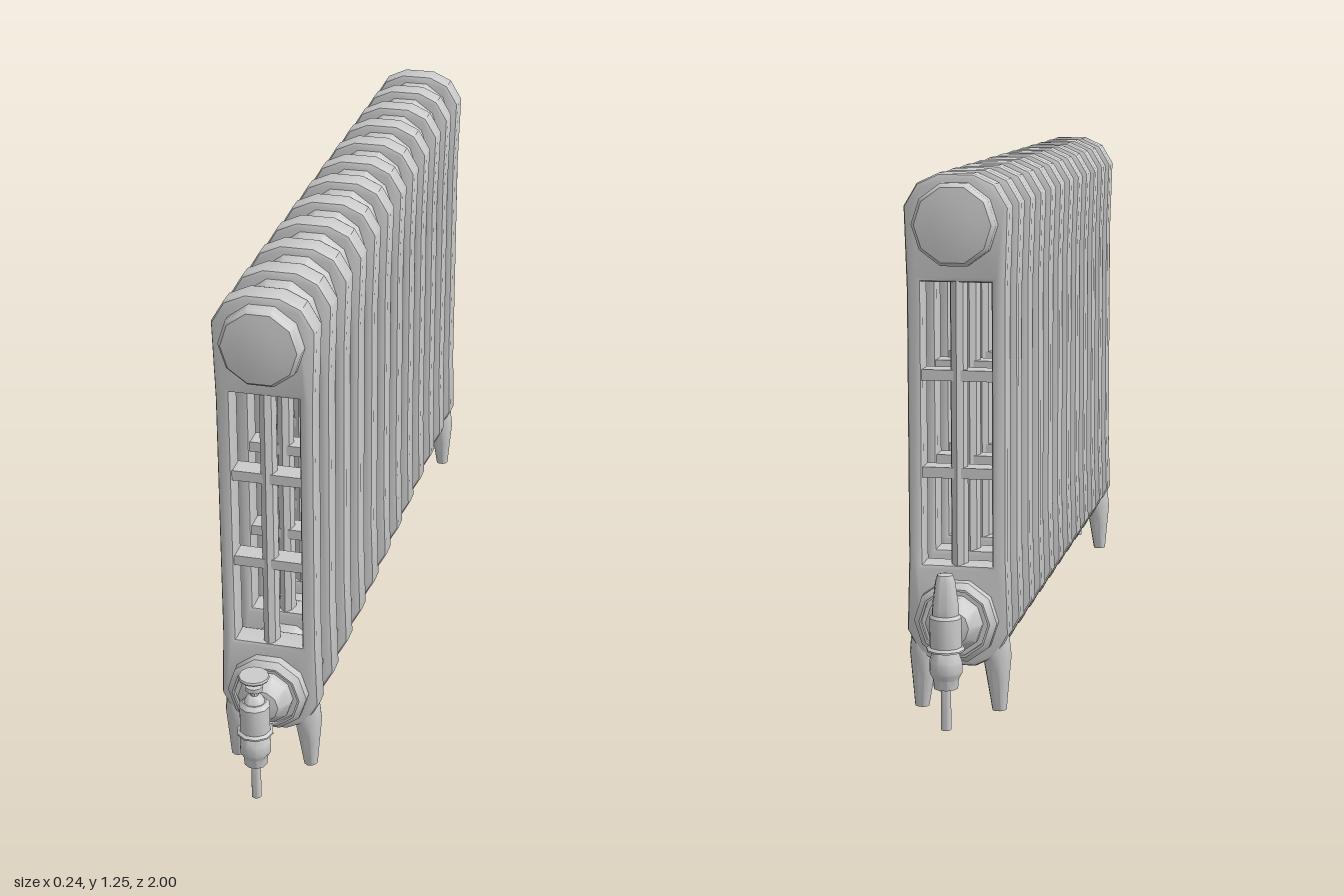
import * as THREE from 'three';
import { toCreasedNormals } from 'three/addons/utils/BufferGeometryUtils.js';

const material = new THREE.MeshStandardMaterial({ color: 0xcccccc });
const COUNT = 12, PITCH = 0.145, HALF = 0.033;
const TOP_Y = 1.132, LOW_Y = 0.222, END_Z = PITCH * (COUNT - 1) / 2;
const vecs = (pts) => pts.map(([x, y]) => new THREE.Vector2(x, y));

function add(parent, name, geometry, x = 0, y = 0, z = 0) {
  const mesh = new THREE.Mesh(geometry, material);
  mesh.name = name;
  mesh.position.set(x, y, z);
  parent.add(mesh);
  return mesh;
}

// Turned part from [radius, height] pairs; creases stay sharp
function turned(profile, sides = 10) {
  const g = new THREE.LatheGeometry(vecs(profile), sides, Math.PI / sides);
  return toCreasedNormals(g, 0.7);
}

// Rounded outline of one section with a single tall opening
function frameGeometry() {
  const right = [[0.04, 0.11], [0.09, 0.135], [0.12, 0.19], [0.115, 0.36],
    [0.115, 0.98], [0.121, 1.17], [0.09, 1.222], [0.04, 1.245]];
  const left = right.map(([x, y]) => [-x, y]).reverse();
  const shape = new THREE.Shape(vecs([...right, ...left]));
  shape.holes.push(new THREE.Path(vecs([[-0.08, 0.35], [-0.08, 1], [0.08, 1], [0.08, 0.35]])));
  const bevel = 0.012;
  const g = new THREE.ExtrudeGeometry(shape, {
    depth: 2 * (HALF - bevel), bevelThickness: bevel, bevelSize: bevel,
    bevelOffset: -bevel, bevelSegments: 2,
  });
  g.translate(0, 0, -(HALF - bevel));
  return toCreasedNormals(g, 0.6);
}

// Chain of swollen joints running through every section
function headerGeometry() {
  const pts = [[0, -END_Z]];
  for (let i = 0; i < COUNT - 1; i++) {
    const mid = -END_Z + (i + 0.5) * PITCH;
    pts.push([0.098, mid - 0.045], [0.093, mid - 0.026], [0.081, mid - 0.013],
      [0.081, mid + 0.013], [0.093, mid + 0.026], [0.098, mid + 0.045]);
  }
  pts.push([0, END_Z]);
  return turned(pts).rotateX(Math.PI / 2);
}

// Valve body and supply pipe, shared by both ends
function valveBody(parent) {
  add(parent, 'supplyPipe', turned([[0, 0], [0.012, 0], [0.012, 0.11], [0, 0.11]]));
  add(parent, 'valveBody', turned([[0, 0.098], [0.028, 0.098], [0.03, 0.12], [0.038, 0.135],
    [0.038, 0.16], [0.03, 0.182], [0.044, 0.186], [0.044, 0.19], [0.037, 0.195],
    [0.037, 0.262], [0.028, 0.272], [0, 0.272]]));
}

export function createModel() {
  const model = new THREE.Group();
  model.name = 'radiator';

  // Sections: frame, centre column and two crossbars
  const frame = frameGeometry();
  const column = toCreasedNormals(new THREE.CylinderGeometry(0.02, 0.02, 0.68, 8, 1, true), 0.3);
  column.scale(1, 1, 1.5);
  const bar = new THREE.BoxGeometry(0.18, 0.025, 0.05);
  for (let i = 0; i < COUNT; i++) {
    const section = new THREE.Group();
    section.name = 'section';
    section.position.z = END_Z - i * PITCH;
    add(section, 'frame', frame);
    add(section, 'centreColumn', column, 0, 0.675, 0);
    for (const y of [0.563, 0.788]) add(section, 'crossbar', bar, 0, y, 0);
    model.add(section);
  }

  // Upper and lower headers
  const header = headerGeometry();
  add(model, 'upperHeader', header, 0, TOP_Y, 0);
  add(model, 'lowerHeader', header, 0, LOW_Y, 0);

  // Both ends: domed cap, bushing, feet and valve
  const cap = turned([[0.098, 0], [0.097, 0.055], [0.088, 0.067], [0.05, 0.072], [0, 0.074]])
    .rotateX(Math.PI / 2);
  const bushing = turned([[0.098, 0], [0.097, 0.055], [0.083, 0.068], [0.078, 0.068], [0.078, 0.06],
    [0.066, 0.06], [0.066, 0.078], [0.042, 0.108], [0.02, 0.112], [0.02, 0.157]])
    .rotateX(Math.PI / 2);
  const foot = turned([[0, 0], [0.017, 0], [0.026, 0.07], [0.034, 0.13], [0.03, 0.19], [0, 0.23]]);
  for (const side of [1, -1]) {
    const end = new THREE.Group();
    end.name = side > 0 ? 'frontEnd' : 'backEnd';
    end.rotation.y = side > 0 ? 0 : Math.PI;
    add(end, 'endCap', cap, 0, TOP_Y, END_Z);
    add(end, 'bushing', bushing, 0, LOW_Y, END_Z);
    for (const s of [1, -1]) {
      const leg = add(end, 'foot', foot, s * 0.092, 0.002, END_Z);
      leg.rotation.z = s * 0.04;
    }
    const valve = new THREE.Group();
    valve.name = side > 0 ? 'controlValve' : 'lockshieldValve';
    valve.position.z = 0.956;
    valveBody(valve);
    if (side > 0) {
      // Stem with packing nut and handwheel
      add(valve, 'stem', turned([[0.026, 0.27], [0.018, 0.285], [0.01, 0.29], [0.01, 0.302],
        [0.021, 0.304], [0.021, 0.315], [0.009, 0.318], [0.009, 0.337]]));
      add(valve, 'handwheel', turned([[0, 0.334], [0.035, 0.334], [0.037, 0.338],
        [0.035, 0.343], [0, 0.343]], 12));
    } else {
      // Tall cover over the spindle
      add(valve, 'cover', turned([[0.031, 0.268], [0.031, 0.285], [0.023, 0.345],
        [0.018, 0.36], [0, 0.364]]));
    }
    end.add(valve);
    model.add(end);
  }
  return model;
}
